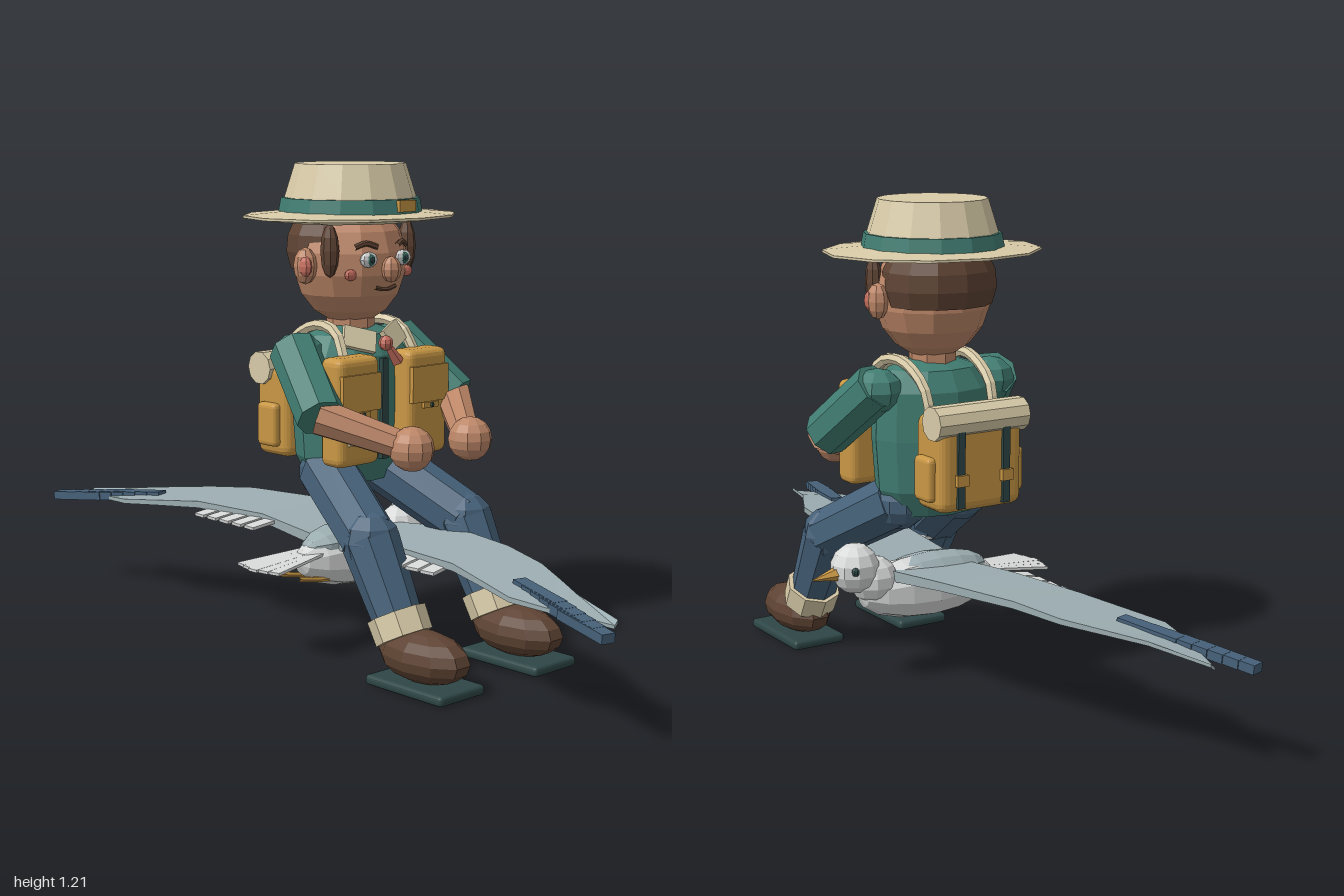
import * as THREE from 'three';
import { RoundedBoxGeometry } from 'three/addons/geometries/RoundedBoxGeometry.js';

const V = (x, y, z) => new THREE.Vector3(x, y, z);
const UP = V(0, 1, 0);

export function createModel() {
  const mat = (name, color) => {
    const m = new THREE.MeshStandardMaterial({ color });
    m.name = name;
    return m;
  };
  const skin = mat('skin', 0xbd8768), teal = mat('teal cloth', 0x417d72), denim = mat('denim blue', 0x466179);
  const brown = mat('brown', 0x5e4333), cream = mat('cream', 0xd8cba8), ochre = mat('ochre', 0xc99745);
  const white = mat('white feather', 0xd8dad9), grey = mat('grey feather', 0x9cadb1);
  const dark = mat('dark teal', 0x2f4747), coral = mat('coral', 0xc76f60);

  const root = new THREE.Group();
  const rider = new THREE.Group();
  rider.name = 'rider';
  rider.position.x = -0.01;
  const bird = new THREE.Group();
  bird.name = 'bird';
  root.add(rider, bird);

  // Helpers: every part gets faceted normals
  const add = (parent, name, geo, m, pos) => {
    const g = geo.index ? geo.toNonIndexed() : geo;
    g.computeVertexNormals();
    const mesh = new THREE.Mesh(g, m);
    mesh.name = name;
    if (pos) mesh.position.copy(pos);
    parent.add(mesh);
    return mesh;
  };
  const ball = (parent, name, m, pos, rx, ry = rx, rz = rx, n = 10, k = 7) => {
    const mesh = add(parent, name, new THREE.SphereGeometry(1, n, k), m, pos);
    mesh.scale.set(rx, ry, rz);
    return mesh;
  };
  const box = (parent, name, m, pos, w, h, d) => add(parent, name, new THREE.BoxGeometry(w, h, d), m, pos);
  const soft = (parent, name, m, pos, w, h, d, r) =>
    add(parent, name, new RoundedBoxGeometry(w, h, d, 2, r), m, pos);
  const limb = (parent, name, m, a, b, ra, rb, n = 8) => {
    const mesh = add(parent, name, new THREE.CylinderGeometry(rb, ra, a.distanceTo(b), n), m,
      a.clone().lerp(b, 0.5));
    mesh.quaternion.setFromUnitVectors(UP, b.clone().sub(a).normalize());
    return mesh;
  };
  const tube = (parent, name, m, pts, r, n = 12) =>
    add(parent, name, new THREE.TubeGeometry(new THREE.CatmullRomCurve3(pts), n, r, 6), m);
  const lathe = (parent, name, m, pts, n, sz = 1) => {
    const mesh = add(parent, name, new THREE.LatheGeometry(pts.map(p => new THREE.Vector2(...p)), n), m);
    mesh.scale.z = sz;
    return mesh;
  };
  const blade = (parent, name, m, a, b, w, t) => {
    const mesh = add(parent, name, new THREE.BoxGeometry(w, t, a.distanceTo(b)), m, a.clone().lerp(b, 0.5));
    mesh.lookAt(b);
    return mesh;
  };

  // Torso and shirt front
  lathe(rider, 'torso', teal, [[0, 0.42], [0.12, 0.425], [0.155, 0.49], [0.165, 0.62],
    [0.16, 0.74], [0.12, 0.79], [0.06, 0.81], [0, 0.81]], 12, 0.72);
  box(rider, 'placket', dark, V(0, 0.61, 0.115), 0.02, 0.25, 0.02);
  limb(rider, 'neck', skin, V(0, 0.78, 0), V(0, 0.86, 0), 0.06, 0.06);
  ball(rider, 'scarfKnot', coral, V(0, 0.772, 0.125), 0.019, 0.019, 0.017, 8, 6);
  limb(rider, 'scarfTail', coral, V(0.005, 0.768, 0.125), V(0.038, 0.722, 0.13), 0.008, 0.016, 4);

  // Head and face
  const surf = (x, y, out = 0) =>
    V(x, y, out + 0.135 * Math.sqrt(Math.max(0, 1 - (x / 0.147) ** 2 - ((y - 0.965) / 0.155) ** 2)));
  ball(rider, 'head', skin, V(0, 0.965, 0), 0.147, 0.155, 0.137, 12, 9);
  const hair = add(rider, 'hair', new THREE.SphereGeometry(1, 12, 6, 0, Math.PI * 2, 0, Math.PI * 0.63), brown,
    V(0, 1.0, -0.03));
  hair.scale.set(0.149, 0.13, 0.127);
  ball(rider, 'nose', skin, V(0, 0.953, 0.143), 0.025, 0.032, 0.025, 8, 6);
  tube(rider, 'mouth', brown, [-0.034, -0.012, 0.012, 0.034].map((x, i) =>
    surf(x, i % 3 ? 0.904 : 0.91, 0)), 0.005, 6);

  // Hat
  const hat = new THREE.Group();
  hat.name = 'hat';
  rider.add(hat);
  lathe(hat, 'brim', cream, [[0, 1.062], [0.16, 1.062], [0.28, 1.075], [0.28, 1.081], [0.17, 1.09], [0, 1.09]], 12, 0.87);
  lathe(hat, 'crown', cream, [[0.172, 1.08], [0.162, 1.125], [0.137, 1.205], [0, 1.205]], 14);
  lathe(hat, 'hatBand', teal, [[0.178, 1.085], [0.171, 1.122], [0.15, 1.122]], 14);
  box(hat, 'hatBuckle', ochre, V(0.018, 1.106, 0.174), 0.055, 0.028, 0.014);

  for (const s of [-1, 1]) {
    const P = (x, y, z) => V(s * x, y, z);
    // Facial features
    ball(rider, 'ear', skin, P(0.155, 0.962, 0.005), 0.026, 0.045, 0.032, 8, 6);
    ball(rider, 'innerEar', coral, P(0.167, 0.962, 0.018), 0.014, 0.026, 0.021, 8, 6);
    ball(rider, 'sideburn', brown, P(0.13, 1.0, 0.065), 0.02, 0.065, 0.026, 8, 6);
    const e = surf(s * 0.057, 0.978);
    ball(rider, 'eye', white, e, 0.028, 0.019, 0.012, 10, 6);
    ball(rider, 'iris', teal, e.clone().add(V(0, 0, 0.008)), 0.013, 0.014, 0.007, 8, 6);
    ball(rider, 'pupil', dark, e.clone().add(V(0, 0, 0.013)), 0.007, 0.008, 0.004, 8, 6);
    tube(rider, 'eyebrow', brown, [0.033, 0.06, 0.086].map((x, i) =>
      surf(s * x, [1.008, 1.017, 1.008][i], 0.003)), 0.007, 6);
    ball(rider, 'cheek', coral, surf(s * 0.094, 0.942, -0.002), 0.02, 0.014, 0.01, 8, 6);

    // Collar
    const collar = box(rider, 'collar', cream, P(0.058, 0.783, 0.092), 0.085, 0.055, 0.014);
    collar.rotation.set(-0.5, s * 0.25, s * 0.42);

    // Arm
    const elbow = P(0.228, 0.615, 0.14);
    ball(rider, 'shoulder', teal, P(0.165, 0.745, -0.01), 0.064, 0.055, 0.064, 8, 6);
    limb(rider, 'sleeve', teal, P(0.17, 0.758, -0.02), elbow, 0.062, 0.06);
    limb(rider, 'forearm', skin, P(0.23, 0.618, 0.135), P(0.11, 0.555, 0.29), 0.046, 0.036);
    ball(rider, 'hand', skin, P(0.1, 0.548, 0.315), 0.054, 0.054, 0.055, 10, 8);

    // Leg
    const knee = P(0.163, 0.325, 0.24), ankle = P(0.163, 0.13, 0.345);
    ball(rider, 'hip', denim, P(0.09, 0.45, 0.01), 0.07);
    limb(rider, 'thigh', denim, P(0.09, 0.455, 0.01), knee, 0.073, 0.07);
    ball(rider, 'knee', denim, knee, 0.072, 0.072, 0.072, 8, 6);
    limb(rider, 'shin', denim, knee, ankle, 0.071, 0.058);
    limb(rider, 'trouserCuff', cream, P(0.163, 0.165, 0.328), P(0.163, 0.112, 0.356), 0.072, 0.07);
    ball(rider, 'shoe', brown, P(0.163, 0.08, 0.42), 0.073, 0.062, 0.134, 10, 8);
    soft(rider, 'sole', dark, P(0.163, 0.0125, 0.422), 0.15, 0.025, 0.25, 0.01);

    // Chest pouch
    soft(rider, 'chestPouch', ochre, P(0.117, 0.618, 0.122), 0.137, 0.265, 0.075, 0.02);
    box(rider, 'pouchFlap', ochre, P(0.117, 0.665, 0.16), 0.125, 0.09, 0.012);
    box(rider, 'pouchTab', ochre, P(0.117, 0.612, 0.163), 0.05, 0.014, 0.012);
    ball(rider, 'pouchButton', dark, P(0.117, 0.612, 0.171), 0.007, 0.007, 0.004, 6, 4);

    // Backpack strap and its straps and buckles
    tube(rider, 'shoulderStrap', cream, [P(0.09, 0.66, -0.135), P(0.095, 0.755, -0.115), P(0.1, 0.812, -0.02),
      P(0.11, 0.8, 0.065), P(0.12, 0.735, 0.105)], 0.014);
    box(rider, 'packStrap', dark, P(0.065, 0.58, -0.228), 0.02, 0.2, 0.01);
    box(rider, 'packBuckle', ochre, P(0.065, 0.55, -0.234), 0.032, 0.028, 0.012);
    soft(rider, 'packSidePocket', ochre, P(0.125, 0.55, -0.165), 0.03, 0.11, 0.07, 0.012);
  }
  box(rider, 'pouchLabel', cream, V(-0.117, 0.565, 0.162), 0.085, 0.05, 0.008);

  // Backpack and bedroll
  soft(rider, 'backpack', ochre, V(0, 0.585, -0.165), 0.24, 0.235, 0.12, 0.025);
  limb(rider, 'bedroll', cream, V(-0.13, 0.69, -0.198), V(0.13, 0.69, -0.198), 0.042, 0.042, 10);

  // Bird body, head and tail
  const body = ball(bird, 'birdBody', white, V(0.01, 0.228, 0), 0.083, 0.2, 0.077, 10, 8);
  body.rotation.z = Math.PI / 2;
  const mantle = ball(bird, 'birdBack', grey, V(-0.01, 0.262, 0), 0.05, 0.155, 0.07, 10, 8);
  mantle.rotation.z = Math.PI / 2;
  ball(bird, 'birdNeck', white, V(0.165, 0.265, 0), 0.065, 0.06, 0.058);
  ball(bird, 'birdHead', white, V(0.218, 0.302, 0), 0.063, 0.064, 0.06);
  limb(bird, 'beak', ochre, V(0.265, 0.295, 0), V(0.34, 0.288, 0), 0.02, 0.001, 6);
  for (let i = -2; i <= 2; i++)
    blade(bird, 'tailFeather', white, V(-0.13, 0.25, i * 0.012), V(-0.337 + Math.abs(i) * 0.008, 0.236, i * 0.031),
      0.03, 0.007);

  // Wings, as stations of [z, leading x, trailing x, y, half thickness]
  const stations = [[0.02, 0.13, -0.1, 0.268, 0.014], [0.24, 0.122, -0.097, 0.294, 0.011],
    [0.465, 0.066, -0.127, 0.298, 0.009], [0.6, 0.03, -0.166, 0.288, 0.007],
    [0.7, -0.022, -0.195, 0.28, 0.006], [0.79, -0.07, -0.178, 0.272, 0.005], [0.945, -0.12, -0.132, 0.256, 0.004]];
  const wing = s => {
    const pos = [], idx = [];
    for (const [z, xl, xt, y, h] of stations)
      for (const [x, dy] of [[xl, h + 0.005], [xt, h - 0.005], [xt, -h - 0.005], [xl, 0.005 - h]])
        pos.push(x, y + dy, s * z);
    const tri = (a, b, c) => (s > 0 ? idx.push(a, b, c) : idx.push(a, c, b));
    const last = (stations.length - 1) * 4;
    for (let k = 0; k < last; k += 4)
      for (let j = 0; j < 4; j++) {
        const a = k + j, b = k + (j + 1) % 4;
        tri(a, b, b + 4);
        tri(a, b + 4, a + 4);
      }
    tri(last, last + 1, last + 2);
    tri(last, last + 2, last + 3);
    const g = new THREE.BufferGeometry();
    g.setAttribute('position', new THREE.Float32BufferAttribute(pos, 3));
    g.setIndex(idx);
    return g;
  };
  for (const s of [-1, 1]) {
    add(bird, 'wing', wing(s), grey);
    // Stepped dark feathers toward the wing tip
    for (let i = 0; i < 6; i++) {
      const t = i / 5, x = -0.105 - 0.065 * t, z = 0.65 + 0.185 * t, y = 0.287 - 0.02 * t;
      blade(bird, 'primaryFeather', denim, V(x, y, s * z), V(x - 0.042, y - 0.015, s * (z + 0.158)), 0.034, 0.022);
    }
    // Pale feathers along the trailing edge
    for (let i = 0; i < 5; i++) {
      const z = s * (0.21 + i * 0.05);
      blade(bird, 'secondaryFeather', white, V(-0.07, 0.289, z), V(-0.163, 0.277, z + s * 0.008), 0.04, 0.008);
    }
    // Eye and trailing foot
    ball(bird, 'birdEye', dark, V(0.245, 0.307, s * 0.05), 0.011, 0.011, 0.009, 8, 6);
    tube(bird, 'birdFoot', ochre, [V(-0.07, 0.18, s * 0.03), V(-0.14, 0.185, s * 0.032), V(-0.22, 0.2, s * 0.035)], 0.007, 6);
  }
  return root;
}
